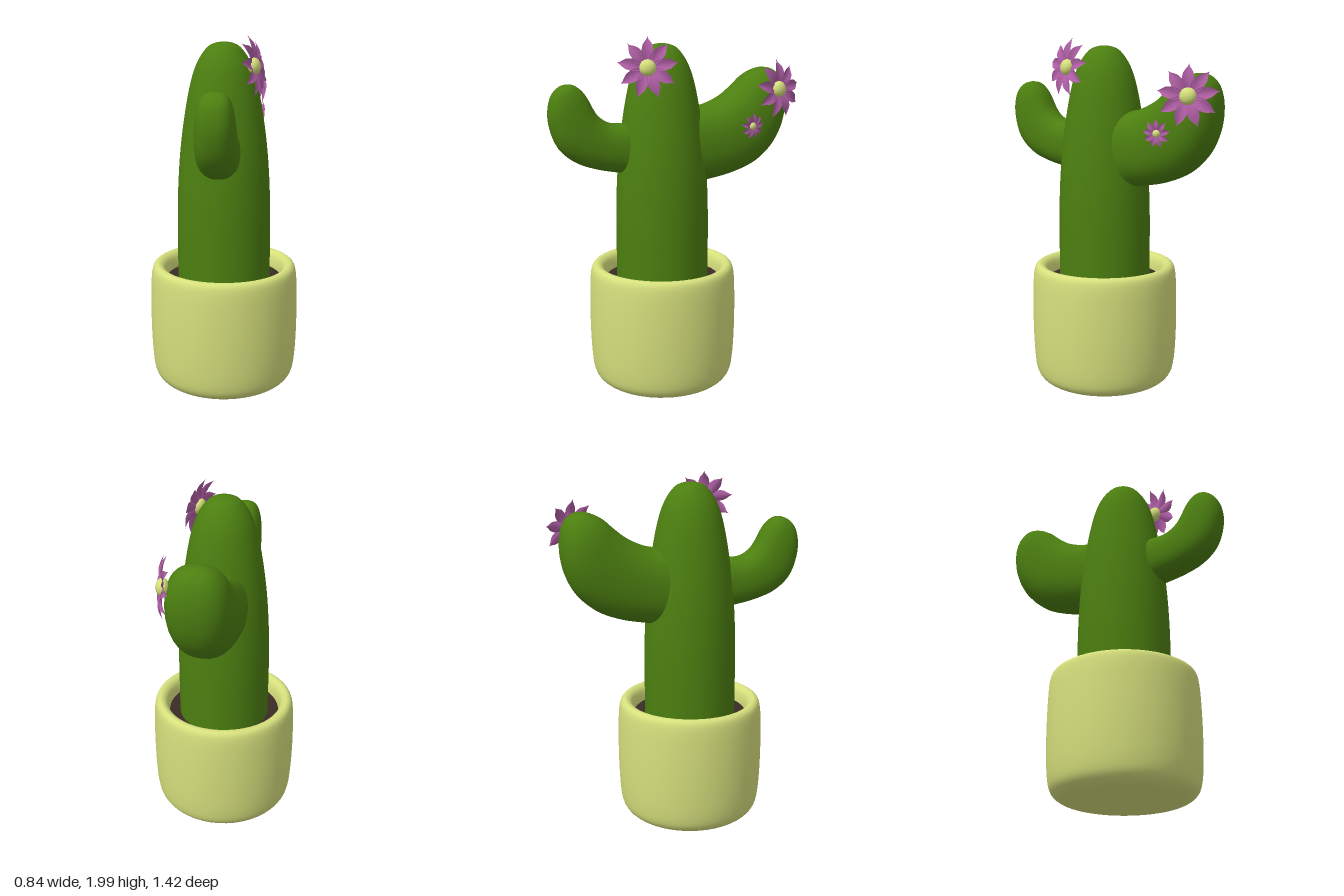
import * as THREE from 'three';
import { mergeVertices } from 'three/addons/utils/BufferGeometryUtils.js';

const mat = (color, side = THREE.FrontSide) => new THREE.MeshStandardMaterial({ color, side });
const GREEN = mat(0x4c7f10), CREAM = mat(0xd5df7c), SOIL = mat(0x3c2a25);
const PINK = mat(0xb05fa5, THREE.DoubleSide);
const AXIS_Z = 0.075;

function part(name, geometry, material) {
  const mesh = new THREE.Mesh(geometry, material);
  mesh.name = name;
  return mesh;
}

// Smooth lathe through a few [radius, height] points
function turned(points, steps) {
  const curve = new THREE.SplineCurve(points.map(([r, y]) => new THREE.Vector2(r, y)));
  const profile = curve.getPoints(steps);
  profile.forEach((p) => { p.x = Math.max(p.x, 0); });
  return new THREE.LatheGeometry(profile, 48);
}

// Bent arm lofted through sections [outer z, outer y, inner z, inner y, half width]
function armGeometry(sections, dir, rings = 45, sides = 32) {
  const outer = new THREE.CatmullRomCurve3(sections.map((s) => new THREE.Vector3(s[4], s[1], s[0])));
  const inner = new THREE.CatmullRomCurve3(sections.map((s) => new THREE.Vector3(0, s[3], s[2])));
  const soft = (v) => Math.sign(v) * Math.abs(v) ** 0.85;
  const pos = [], index = [];
  for (let i = 0; i <= rings; i++) {
    const o = outer.getPoint(i / rings), n = inner.getPoint(i / rings);
    const width = Math.max(o.x, 0);
    for (let j = 0; j < sides; j++) {
      const a = (j / sides) * Math.PI * 2;
      const k = (1 + soft(Math.cos(a))) / 2;
      pos.push(dir * width * soft(Math.sin(a)), n.y + (o.y - n.y) * k, n.z + (o.z - n.z) * k);
      if (i < rings) {
        const p = i * sides + j, q = i * sides + (j + 1) % sides;
        index.push(p, q, p + sides, q, q + sides, p + sides);
      }
    }
  }
  const g = new THREE.BufferGeometry();
  g.setAttribute('position', new THREE.Float32BufferAttribute(pos, 3));
  g.setIndex(index);
  const merged = mergeVertices(g, 1e-5);
  merged.computeVertexNormals();
  return merged;
}

// Pointed petal along +y, folded along its middle and bent back at the tip
function petalGeometry() {
  const g = new THREE.PlaneGeometry(1, 1, 4, 10);
  const p = g.attributes.position;
  for (let i = 0; i < p.count; i++) {
    const u = p.getX(i) * 2, t = p.getY(i) + 0.5;
    const half = 0.04 + 0.15 * Math.sin(Math.PI * t ** 0.9);
    const w = half * Math.min(1, (1 - t) * 4);
    p.setXYZ(i, u * w, 0.1 + 0.9 * t, 0.09 * Math.sin(Math.PI * t) + 0.35 * w * u * u);
  }
  g.computeVertexNormals();
  return g;
}

function flower(name, petal, radius, position, normal) {
  const group = new THREE.Group();
  group.name = name;
  const count = 9;
  for (let i = 0; i < count; i++) {
    const mesh = part('petal', petal, PINK);
    mesh.rotation.z = (i / count) * Math.PI * 2;
    group.add(mesh);
  }
  const heart = part('flowerCentre', new THREE.SphereGeometry(0.27, 20, 14), CREAM);
  heart.scale.z = 0.75;
  heart.position.z = 0.06;
  group.add(heart);
  group.scale.setScalar(radius);
  group.position.set(...position);
  group.lookAt(new THREE.Vector3(...position).add(new THREE.Vector3(...normal)));
  return group;
}

export function createModel() {
  const model = new THREE.Group();
  model.name = 'pottedCactus';

  // Pot with rounded foot and rolled rim
  const pot = part('pot', turned([
    [0, 0.008], [0.14, 0.008], [0.27, 0.012], [0.345, 0.028], [0.39, 0.065], [0.409, 0.13],
    [0.418, 0.25], [0.421, 0.4], [0.419, 0.55], [0.414, 0.65], [0.404, 0.7], [0.385, 0.719],
    [0.365, 0.719], [0.345, 0.705], [0.333, 0.68], [0.326, 0.64], [0.325, 0.58],
  ], 64), CREAM);
  pot.position.z = AXIS_Z;

  const soil = part('soil', new THREE.CircleGeometry(0.33, 48), SOIL);
  soil.rotation.x = -Math.PI / 2;
  soil.position.set(0, 0.63, AXIS_Z);

  // Tapering trunk
  const trunk = part('trunk', turned([
    [0.262, 0.58], [0.262, 0.8], [0.261, 1.0], [0.254, 1.2], [0.238, 1.4], [0.21, 1.6],
    [0.177, 1.76], [0.14, 1.86], [0.09, 1.93], [0.045, 1.954], [0, 1.96],
  ], 50), GREEN);
  trunk.position.z = AXIS_Z;

  // Slim front arm and thick back arm
  const frontArm = part('frontArm', armGeometry([
    [0.12, 1.22, 0.12, 1.54, 0.11], [0.3, 1.255, 0.28, 1.532, 0.11], [0.45, 1.285, 0.38, 1.54, 0.11],
    [0.57, 1.33, 0.44, 1.58, 0.11], [0.66, 1.41, 0.47, 1.625, 0.108], [0.703, 1.52, 0.49, 1.665, 0.102],
    [0.71, 1.61, 0.52, 1.71, 0.092], [0.69, 1.69, 0.555, 1.74, 0.072],
    [0.65, 1.735, 0.58, 1.75, 0.045], [0.612, 1.752, 0.612, 1.752, 0],
  ], 1), GREEN);
  frontArm.position.x = -0.007;

  const backArm = part('backArm', armGeometry([
    [0.05, 1.16, 0.05, 1.6, 0.17], [-0.2, 1.195, -0.14, 1.61, 0.167], [-0.34, 1.225, -0.21, 1.63, 0.168],
    [-0.47, 1.28, -0.29, 1.67, 0.17], [-0.57, 1.37, -0.36, 1.725, 0.17], [-0.625, 1.47, -0.41, 1.77, 0.165],
    [-0.65, 1.58, -0.46, 1.8, 0.148], [-0.65, 1.68, -0.515, 1.817, 0.112],
    [-0.63, 1.755, -0.56, 1.815, 0.065], [-0.598, 1.8, -0.598, 1.8, 0],
  ], -1), GREEN);

  // Flowers on the left side
  const petal = petalGeometry();
  model.add(
    pot, soil, trunk, frontArm, backArm,
    flower('topFlower', petal, 0.165, [0.16, 1.84, 0.205], [1, 0.2, 0.3]),
    flower('armFlower', petal, 0.165, [0.155, 1.705, -0.555], [1, 0.12, -0.38]),
    flower('smallFlower', petal, 0.077, [0.19, 1.51, -0.39], [1, -0.1, -0.25]),
  );
  return model;
}
